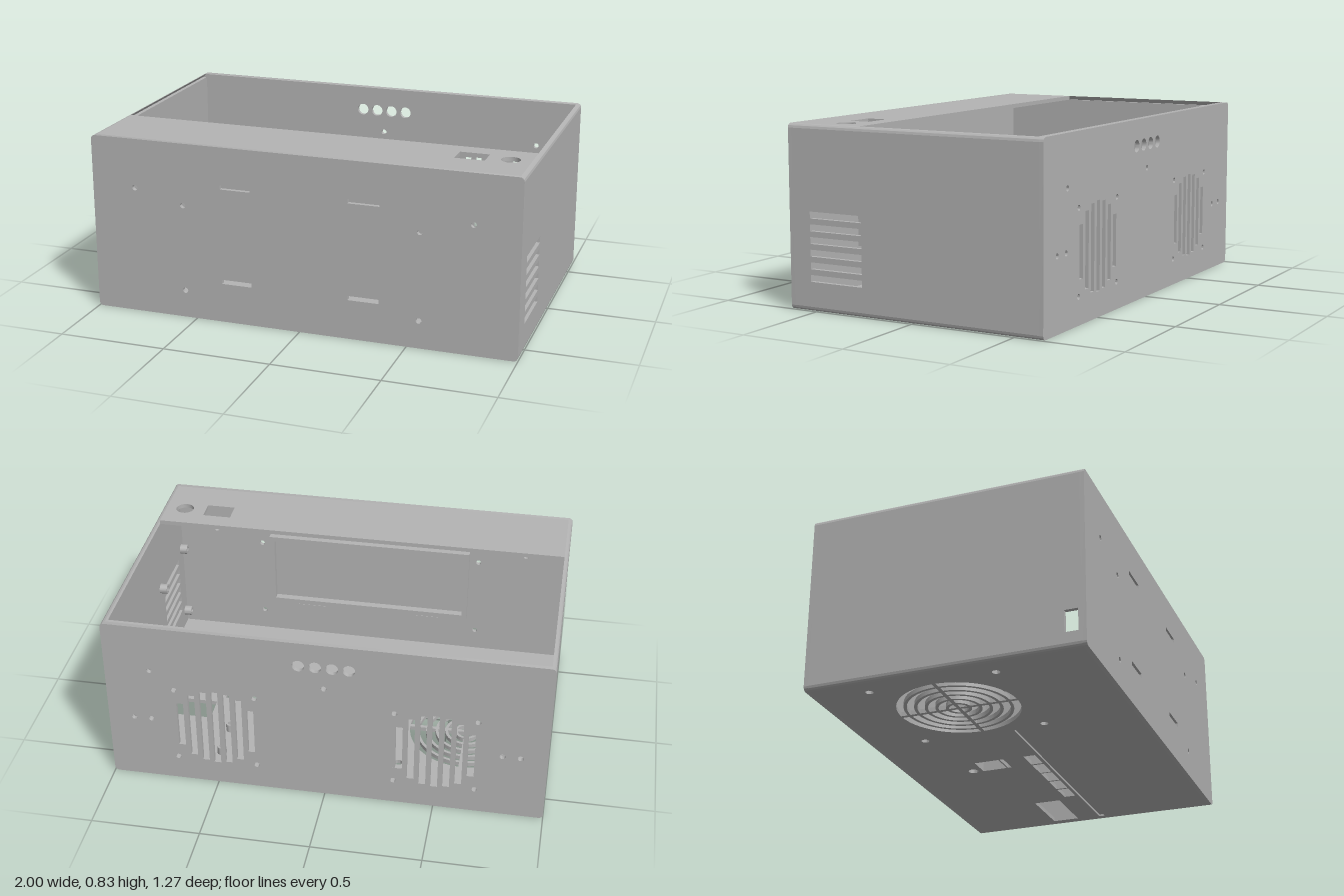
import * as THREE from 'three';
import { toCreasedNormals } from 'three/addons/utils/BufferGeometryUtils.js';

const W = 1, H = 0.83, D = 0.635, T = 0.02; // half width, height, half depth, wall

// Closed outlines, used both as plates and as holes
const rect = (x0, y0, x1, y1) => new THREE.Shape([
  [x0, y0], [x1, y0], [x1, y1], [x0, y1]].map(p => new THREE.Vector2(...p)));
const slot = (cx, cy, w, h) => rect(cx - w / 2, cy - h / 2, cx + w / 2, cy + h / 2);
const circle = (x, y, r) => new THREE.Shape().absarc(x, y, r, 0, Math.PI * 2, false);

function roundedRect(x0, y0, x1, y1, r) {
  const s = new THREE.Shape(), q = Math.PI / 2;
  s.absarc(x1 - r, y0 + r, r, -q, 0, false);
  s.absarc(x1 - r, y1 - r, r, 0, q, false);
  s.absarc(x0 + r, y1 - r, r, q, 2 * q, false);
  s.absarc(x0 + r, y0 + r, r, 2 * q, 3 * q, false);
  return s;
}

function plate(shape, holes, depth) {
  shape.holes.push(...holes);
  const g = new THREE.ExtrudeGeometry(shape, { depth, bevelEnabled: false, curveSegments: 12 });
  return toCreasedNormals(g, 0.6);
}

// Ring segments of the round fan grille, four per band
function grilleHoles(cx, cy) {
  const holes = [], bar = 0.009;
  for (let band = 0; band < 6; band++) {
    const a = 0.273 - band * 0.046, b = a - 0.032;
    const ta = Math.asin(bar / a), tb = Math.asin(Math.min(0.7, bar / b));
    for (let k = 0; k < 4; k++) {
      const q = k * Math.PI / 2, e = q + Math.PI / 2;
      const s = new THREE.Shape();
      s.absarc(cx, cy, a, q + ta, e - ta, false);
      s.absarc(cx, cy, b, e - tb, q + tb, true);
      holes.push(s);
    }
  }
  return holes;
}

export function createModel() {
  const model = new THREE.Group();
  model.name = 'enclosure';
  const grey = new THREE.MeshStandardMaterial({ color: 0xb3b3b3 });
  grey.name = 'grey plastic';
  const add = (name, geometry, x = 0, y = 0, z = 0) => {
    const m = new THREE.Mesh(geometry, grey);
    m.name = name;
    m.position.set(x, y, z);
    model.add(m);
  };
  // Plates drawn in (z, y) for sides and (x, z) for floor and lid
  const sidePlate = (name, s, holes, d, x) => add(name, plate(s, holes, d).rotateY(-Math.PI / 2), x);
  const flatPlate = (name, s, holes, d, top) => add(name, plate(s, holes, d).rotateX(Math.PI / 2), 0, top);

  // Front panel with slots and screw holes
  const front = [];
  for (const s of [-1, 1]) {
    front.push(slot(s * 0.3, 0.645, 0.145, 0.02), slot(s * 0.3, 0.195, 0.145, 0.02));
    front.push(circle(s * 0.79, 0.6, 0.013), circle(s * 0.555, 0.54, 0.013), circle(s * 0.555, 0.13, 0.013));
  }
  add('frontPanel', plate(roundedRect(-W, 0, W, H, T), front, T), 0, 0, D - T);

  // Back panel with two slotted fan vents
  const back = [circle(0, 0.6, 0.013), circle(0.79, 0.6, 0.013)];
  for (const s of [-1, 1]) {
    const cx = s * 0.5, cy = 0.315;
    for (let i = -3; i <= 3; i++) {
      const x = i * 0.054;
      back.push(slot(cx + x, cy, 0.032, 2 * Math.sqrt(0.2 * 0.2 - x * x)));
    }
    for (const u of [-1, 1]) for (const v of [-1, 1])
      back.push(circle(cx + u * 0.185, cy + v * 0.19, 0.013));
    back.push(circle(s * 0.8, 0.33, 0.013), circle(s * 0.88, 0.33, 0.013));
  }
  for (let i = 0; i < 4; i++) back.push(circle(-0.1125 + i * 0.075, 0.71, 0.028));
  add('backPanel', plate(roundedRect(-W, 0, W, H, T), back, T), 0, 0, -D);
  add('backRimLip', new THREE.BoxGeometry(2 * (W - T), 0.025, 0.015), 0, H - 0.0125, -D + T + 0.0075);

  // Side walls
  const vents = [];
  for (let i = 0; i < 6; i++) vents.push(slot(0.39, 0.148 + i * 0.0565, 0.272, 0.031));
  const wall = () => rect(-D + T, T, D - T, H - T);
  sidePlate('leftWall', wall(), vents, T, W);
  sidePlate('rightWall', wall(), [slot(0.57, 0.12, 0.06, 0.1)], T, -W + T);

  // Rounded long edges
  for (const [sx, sy, a] of [[1, 1, 0], [-1, 1, 1], [-1, -1, 2], [1, -1, 3]]) {
    const s = new THREE.Shape();
    s.moveTo(0, 0);
    s.absarc(0, 0, T, a * Math.PI / 2, (a + 1) * Math.PI / 2, false);
    add('roundedEdge', plate(s, [], 2 * (D - T)), sx * (W - T), sy > 0 ? H - T : T, -D + T);
  }

  // Floor in two layers; the lower one has a shallow groove
  const floorHoles = () => {
    const h = [...grilleHoles(-0.595, -0.09), circle(0.125, -0.32, 0.024),
      rect(0.03, -0.275, 0.14, -0.155), rect(0.03, -0.148, 0.14, -0.13), rect(0.65, -0.2, 0.94, -0.07)];
    for (const x of [-0.885, -0.305]) for (const z of [-0.38, 0.2]) h.push(circle(x, z, 0.018));
    for (const x of [0.087, 0.206, 0.323, 0.441, 0.56]) h.push(slot(x, 0, 0.108, 0.058));
    return h;
  };
  const floor = () => rect(-W + T, -D + T, W - T, D - T);
  flatPlate('floor', floor(), floorHoles(), T / 2, T);
  flatPlate('floorUnderside', floor(), [...floorHoles(), rect(-0.28, 0.045, 0.95, 0.075)], T / 2, T / 2);

  // Raised collar around the switch cutout
  flatPlate('switchCollar', rect(0.02, -0.3, 0.155, -0.105), [rect(0.03, -0.275, 0.14, -0.13)], 0.03, T + 0.03);

  // Board standoffs on the floor
  for (const [x, z] of [[0.285, -0.45], [0.53, -0.45], [0.285, -0.275], [0.53, -0.275], [-0.215, 0.165], [0.29, 0.165]])
    flatPlate('floorStandoff', circle(x, z, 0.022), [circle(x, z, 0.012)], 0.04, T + 0.04);

  // Fan standoffs beside the side vents
  for (const z of [0.2, 0.58]) for (const y of [0.1, 0.48])
    sidePlate('wallStandoff', circle(z, y, 0.024), [circle(z, y, 0.012)], 0.036, W - T);

  // Top strip with a rectangular and a round opening
  flatPlate('topStrip', rect(-W + T, 0.27, W - T, D - T),
    [rect(0.65, 0.355, 0.785, 0.452), circle(0.888, 0.403, 0.043)], T, H);

  // Rib frame behind the front panel
  add('panelFrame', plate(rect(-0.51, 0.21, 0.51, 0.6), [rect(-0.485, 0.235, 0.485, 0.575)], 0.035),
    0, 0, D - T - 0.035);

  return model;
}
